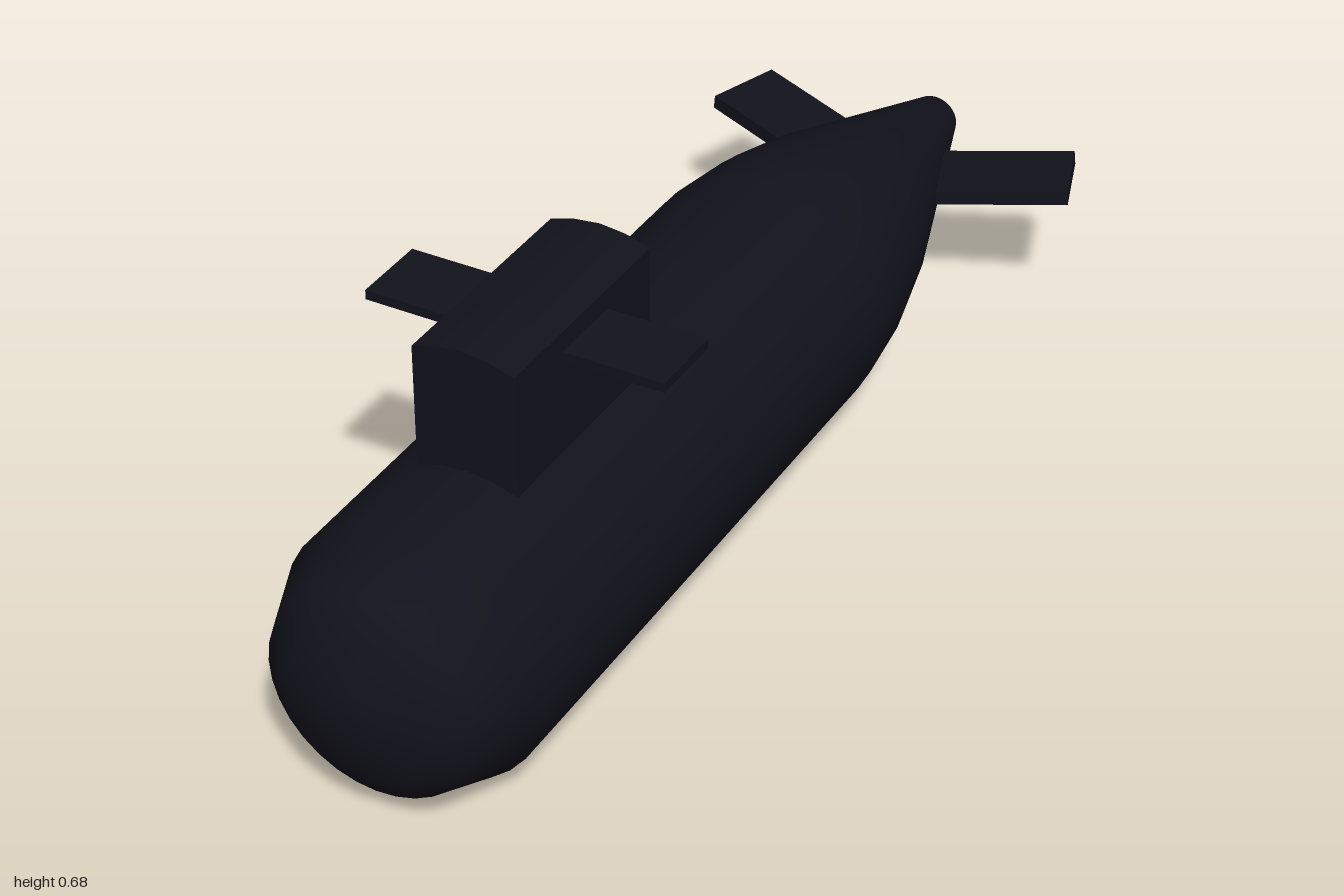
import * as THREE from 'three';

export function createModel() {
  const model = new THREE.Group();
  const paint = new THREE.MeshStandardMaterial({ color: 0x12121c });
  const R = 0.232; // hull radius and height of its axis

  function add(name, geometry, parent = model) {
    const mesh = new THREE.Mesh(geometry, paint);
    mesh.name = name;
    parent.add(mesh);
    return mesh;
  }

  // Hull: [radius, z] profile from stern to bow, turned about the z axis
  const profile = [
    [0.045, -1], [0.14, -0.71], [0.182, -0.58], [0.215, -0.44], [R, -0.3],
    [R, 0.82], [0.182, 0.94], [0.135, 0.972], [0.05, 1], [0, 1],
  ].map(([r, z]) => new THREE.Vector2(r, z));
  const hull = add('hull', new THREE.LatheGeometry(profile, 32).rotateX(Math.PI / 2));
  hull.position.y = R;

  // Flat stern cap
  const cap = add('sternCap', new THREE.CircleGeometry(0.045, 32).rotateY(Math.PI));
  cap.position.set(0, R, -1);

  // Sail: upright block with a gently crowned top
  const section = new THREE.Shape();
  section.moveTo(-0.089, 0.3);
  section.lineTo(0.089, 0.3);
  section.lineTo(0.089, 0.663);
  section.lineTo(0.045, 0.676);
  section.lineTo(0, 0.681);
  section.lineTo(-0.045, 0.676);
  section.lineTo(-0.089, 0.663);
  section.closePath();
  const sail = add('sail', new THREE.ExtrudeGeometry(section, { depth: 0.407, bevelEnabled: false }));
  sail.position.z = 0.247;

  for (const side of [1, -1]) {
    const prefix = side > 0 ? 'left' : 'right';

    // Level diving plane on the sail
    const plane = add(prefix + 'SailPlane', new THREE.BoxGeometry(0.2, 0.017, 0.135));
    plane.position.set(side * 0.163, 0.619, 0.447);

    // Swept, slightly raised stern fin, rooted on the hull axis
    const fin = add(prefix + 'SternFin',
      new THREE.BoxGeometry(0.355, 0.026, 0.147).translate(side * 0.1775, 0, 0));
    fin.position.set(0, R, -0.755);
    fin.rotation.set(0, side * 0.32, side * 0.105, 'YXZ');
  }

  return model;
}
